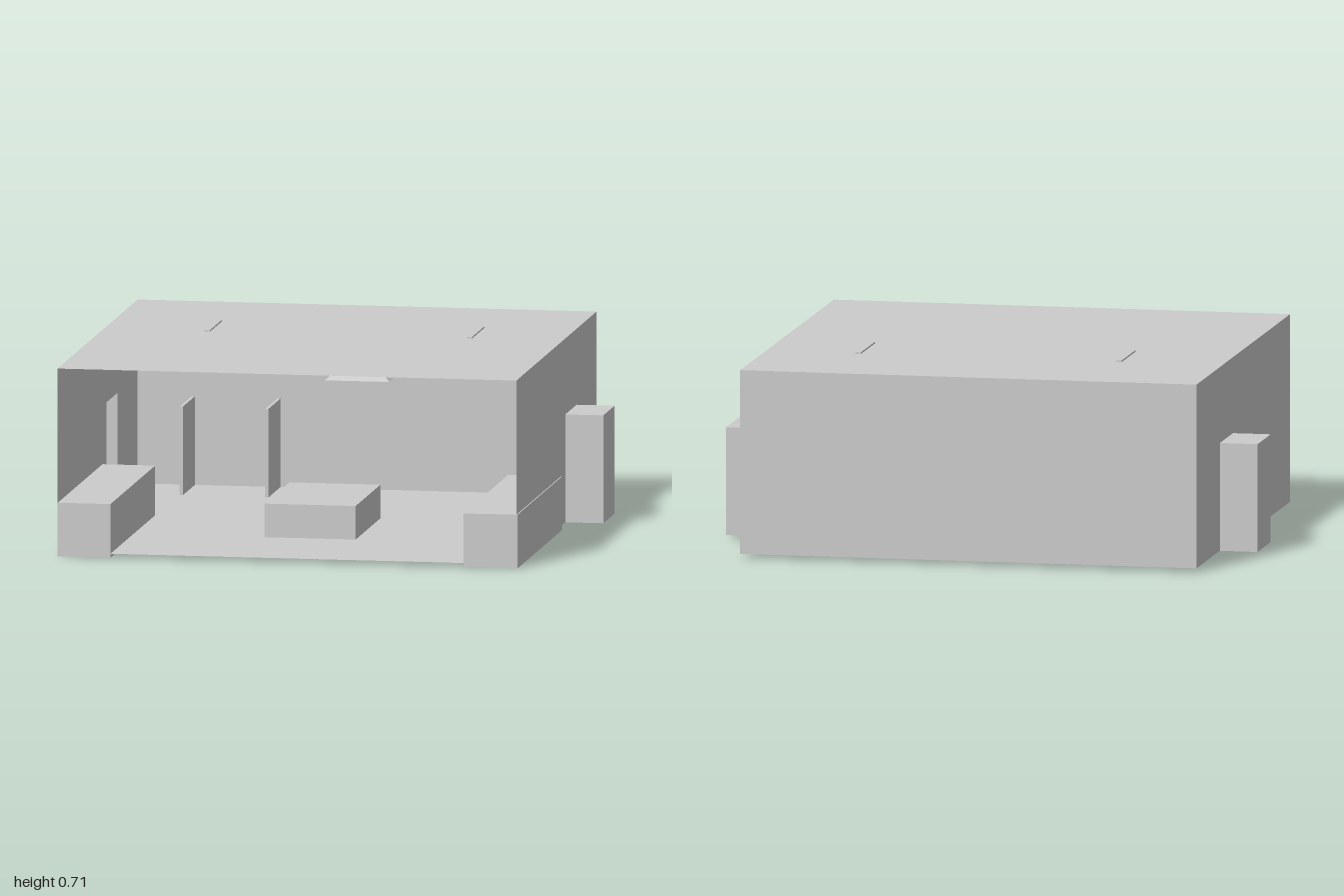
import * as THREE from 'three';

const W = 0.858, FLOOR = 0.015, ROOF = 0.7;          // half width, floor and roof heights
const N = { x: 1, top: 0.417, z0: -0.43, z1: -0.19 }; // side niche

export function createModel() {
  const root = new THREE.Group();
  const solid = new THREE.MeshStandardMaterial({ color: 0xcccccc, flatShading: true });
  const sheet = new THREE.MeshStandardMaterial({ color: 0xcccccc, flatShading: true, side: THREE.DoubleSide });

  const add = (name, geometry, material, parent = root) => {
    const mesh = new THREE.Mesh(geometry, material);
    mesh.name = name;
    parent.add(mesh);
    return mesh;
  };
  // Box from its min and max corners
  const box = (name, a, b) => {
    const size = a.map((v, i) => b[i] - v);
    const mesh = add(name, new THREE.BoxGeometry(...size), solid);
    mesh.position.set(...a.map((v, i) => (v + b[i]) / 2));
    return mesh;
  };
  // Flat sheet from a 2D outline
  const panel = (name, outline, parent) => {
    const shape = new THREE.Shape(outline.map(([x, y]) => new THREE.Vector2(x, y)));
    return add(name, new THREE.ShapeGeometry(shape), sheet, parent);
  };
  const rect = (x0, y0, x1, y1) => [[x0, y0], [x1, y0], [x1, y1], [x0, y1]];

  // Thin room shell, open at the front
  const shell = new THREE.Group();
  shell.name = 'roomShell';
  root.add(shell);

  const floor = panel('floor', [
    [-W, -W], [W, -W], [W, N.z0], [N.x, N.z0], [N.x, N.z1], [W, N.z1],
    [W, W], [-W, W], [-W, N.z1], [-N.x, N.z1], [-N.x, N.z0], [-W, N.z0],
  ], shell);
  floor.rotation.x = Math.PI / 2;
  floor.position.y = FLOOR;

  const roof = panel('roof', rect(-W, -W, W, W), shell);
  roof.rotation.x = -Math.PI / 2;
  roof.position.y = ROOF;

  panel('backWall', rect(-W, FLOOR, W, ROOF), shell).position.z = -W;

  for (const s of [-1, 1]) {
    const side = s > 0 ? 'left' : 'right';

    // Side wall with the niche opening cut out of its lower edge
    const wall = panel(side + 'Wall', [
      [-W, FLOOR], [N.z0, FLOOR], [N.z0, N.top], [N.z1, N.top],
      [N.z1, FLOOR], [W, FLOOR], [W, ROOF], [-W, ROOF],
    ], shell);
    wall.rotation.y = -Math.PI / 2;
    wall.position.x = s * W;

    // Niche bulging out of the side wall
    const outer = panel(side + 'NicheBack', rect(N.z0, FLOOR, N.z1, N.top), shell);
    outer.rotation.y = -Math.PI / 2;
    outer.position.x = s * N.x;
    const xs = [s * W, s * N.x].sort((a, b) => a - b);
    for (const z of [N.z0, N.z1]) {
      panel(side + 'NicheCheek', rect(xs[0], FLOOR, xs[1], N.top), shell).position.z = z;
    }
    const lid = panel(side + 'NicheTop', rect(xs[0], N.z0, xs[1], N.z1), shell);
    lid.rotation.x = Math.PI / 2;
    lid.position.y = N.top;
  }

  // Long counters along the side walls
  box('leftCounter', [0.66, 0, -0.1], [0.862, 0.2, W]);
  box('rightCounter', [-0.857, 0, -0.1], [-0.66, 0.2, W]);

  // Low table in the middle
  box('table', [-0.17, 0.01, -0.17], [0.17, 0.14, 0.36]);

  // Ceiling strips, slightly proud of the roof
  for (const x of [-0.47, 0.51]) {
    box('ceilingStrip', [x - 0.01, 0.69, -0.39], [x + 0.01, 0.706, -0.13]);
  }

  // Upright partitions at the back wall
  for (const x of [-0.65, -0.33]) {
    box('partition', [x - 0.006, FLOOR, -0.855], [x + 0.006, 0.345, -0.6]);
  }

  // Extractor hood: a straight duct above a flared skirt
  box('hoodDuct', [-0.093, 0.475, -0.855], [0.093, 0.697, -0.67]);
  const flare = new THREE.BoxGeometry(0.24, 0.025, 0.21);
  const p = flare.attributes.position;
  for (let i = 0; i < p.count; i++) {
    if (p.getY(i) > 0) {
      p.setX(i, Math.sign(p.getX(i)) * 0.095);
      if (p.getZ(i) > 0) p.setZ(i, 0.08);
    }
  }
  flare.computeVertexNormals();
  add('hoodSkirt', flare, solid).position.set(0, 0.4625, -0.75);

  return root;
}
